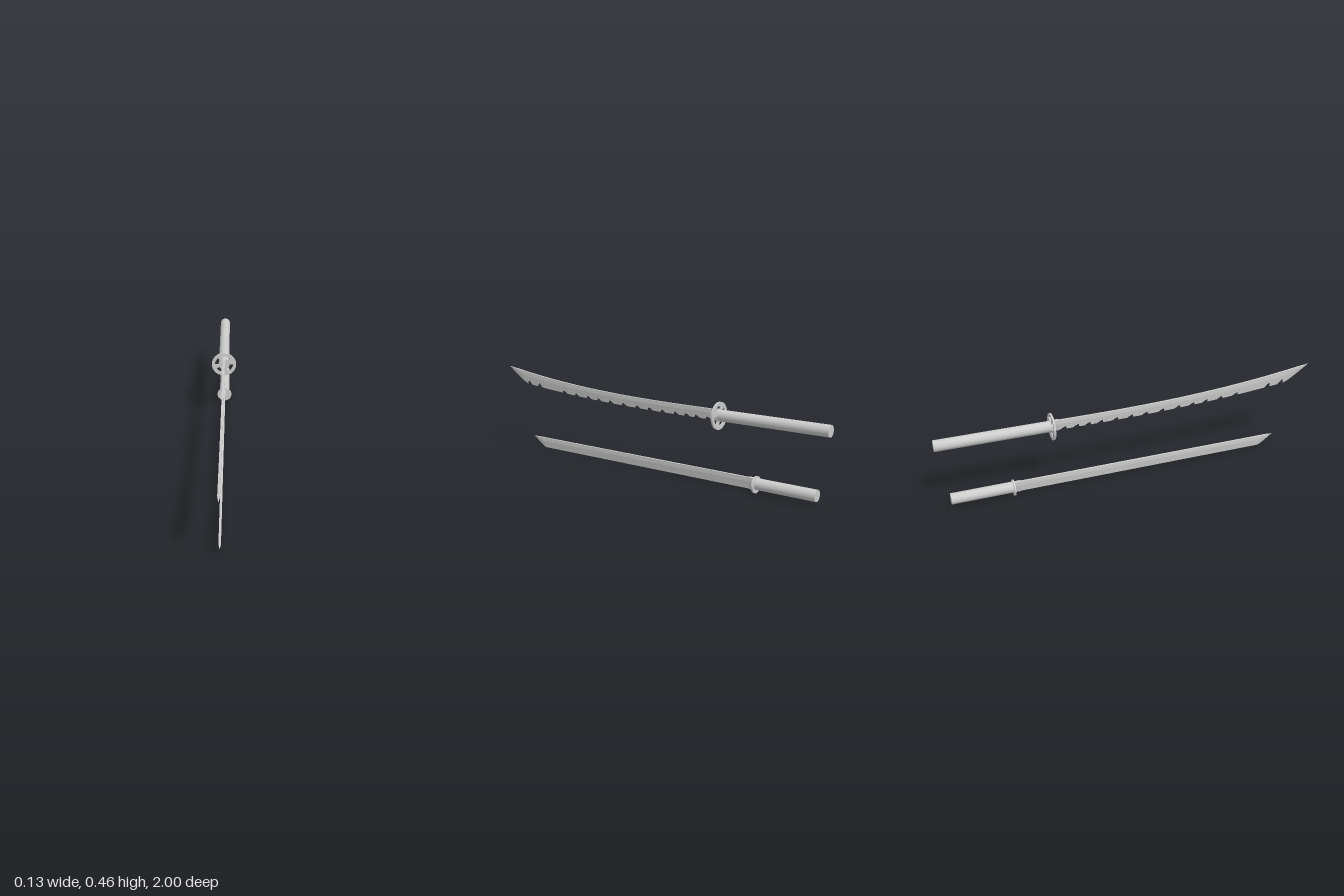
import * as THREE from 'three';

const mat = new THREE.MeshStandardMaterial({ color: 0xcccccc });
const flat = new THREE.MeshStandardMaterial({ color: 0xcccccc, flatShading: true });

function add(group, name, geometry, material, x = 0, y = 0, z = 0) {
  const mesh = new THREE.Mesh(geometry, material);
  mesh.name = name;
  mesh.position.set(x, y, z);
  group.add(mesh);
  return mesh;
}

// Skin closed loops (counter-clockwise seen from +z) stacked along z, with end caps
function loft(rings) {
  const n = rings[0].length, index = [];
  for (let i = 0; i < rings.length - 1; i++) {
    for (let j = 0; j < n; j++) {
      const k = (j + 1) % n;
      const a = i * n + j, b = i * n + k, c = a + n, d = b + n;
      index.push(a, b, d, a, d, c);
    }
  }
  const last = (rings.length - 1) * n;
  for (let j = 1; j < n - 1; j++) {
    index.push(0, j + 1, j, last, last + j, last + j + 1);
  }
  const g = new THREE.BufferGeometry();
  g.setAttribute('position', new THREE.Float32BufferAttribute(rings.flat(2), 3));
  g.setIndex(index);
  g.computeVertexNormals();
  return g;
}

// Blade section: flat spine, ridge on each side, taper to the cutting edge
function section(z, top, edge, cut = 0, half = 0.0055) {
  const h = Math.max(top - edge, 0.0006);
  const w = half * Math.min(1, h / 0.03);
  const mid = top - h * 0.36, bottom = top - h + Math.min(cut, h * 0.5);
  const wb = Math.max(0.0002, w * (bottom - (top - h)) / (h * 0.64));
  return [[w, top, z], [-w, top, z], [-w, mid, z], [-wb, bottom, z], [wb, bottom, z], [w, mid, z]];
}

// Collar between guard and blade: a slightly thicker wedge
function collar(z, top, edge) {
  return loft([z, z + 0.035].map((q) => section(q, top, edge, 0, 0.0085)));
}

function longBlade() {
  const notches = [-0.37, -0.305, -0.245, -0.18, -0.1, -0.02, 0.06, 0.15, 0.24,
    0.32, 0.395, 0.48, 0.57, 0.76, 0.84];
  const stations = [];
  for (let i = 0; i <= 48; i++) {
    const z = -0.435 + 1.435 * i / 48;
    if (!notches.some((c) => Math.abs(z - c) < 0.024)) stations.push([z, 0]);
  }
  // Saw-like nicks: a sloped side and a steep side
  for (const c of notches) {
    const depth = c > 0.7 ? 0.024 : 0.015;
    stations.push([c - 0.02, 0], [c - 0.004, depth * 0.7], [c + 0.01, depth], [c + 0.013, 0]);
  }
  stations.sort((a, b) => a[0] - b[0]);
  return loft(stations.map(([z, cut]) => {
    const u = Math.max(0, (z + 0.3) / 1.3);
    const top = 0.374 + 0.088 * u ** 2.4;
    let edge = 0.32 + 0.07 * u ** 2.4;
    if (z > 0.86) edge += (top - edge) * ((z - 0.86) / 0.14) ** 1.1;
    return section(z, top, edge, cut);
  }));
}

function shortBlade() {
  const rings = [section(-0.64, 0.072, 0.016), section(0.725, 0.072, 0.016)];
  // Curved chisel tip
  for (let i = 1; i <= 8; i++) {
    const t = i / 8;
    rings.push(section(0.725 + 0.087 * t, 0.072, 0.016 + 0.056 * t ** 1.25));
  }
  return loft(rings);
}

// Guard disc, optionally pierced by curved windows given as degree ranges
function guard(radius, depth, windows = []) {
  const shape = new THREE.Shape();
  shape.absarc(0, 0, radius, 0, Math.PI * 2, false);
  for (const [from, to] of windows) {
    const a = THREE.MathUtils.degToRad(from), b = THREE.MathUtils.degToRad(to);
    const hole = new THREE.Path();
    hole.absarc(0, 0, 0.05, a, b, false);
    hole.absarc(0, 0, 0.03, b, a, true);
    hole.closePath();
    shape.holes.push(hole);
  }
  return new THREE.ExtrudeGeometry(shape, { depth, bevelEnabled: false, curveSegments: 32 })
    .translate(0, 0, -depth / 2);
}

function handle(length) {
  return new THREE.CylinderGeometry(0.028, 0.028, length, 40).rotateX(Math.PI / 2);
}

export function createModel() {
  const root = new THREE.Group();
  root.name = 'swordPair';

  // Long curved sword with a nicked edge
  const long = new THREE.Group();
  long.name = 'longSword';
  add(long, 'longBlade', longBlade(), flat);
  add(long, 'longCollar', collar(-0.43, 0.376, 0.318), flat);
  add(long, 'longGuard', guard(0.067, 0.009, [[47, 103], [130, 180], [210, 270], [-60, 0]]),
    mat, 0, 0.344, -0.432);
  add(long, 'longHandle', handle(0.568), mat, 0, 0.347, -0.716);

  // Short straight sword
  const short = new THREE.Group();
  short.name = 'shortSword';
  add(short, 'shortBlade', shortBlade(), flat);
  add(short, 'shortCollar', collar(-0.64, 0.0735, 0.014), flat);
  add(short, 'shortGuard', guard(0.041, 0.008), mat, 0, 0.042, -0.642);
  add(short, 'shortHandle', handle(0.31), mat, 0, 0.046, -0.796);

  root.add(long, short);
  return root;
}
